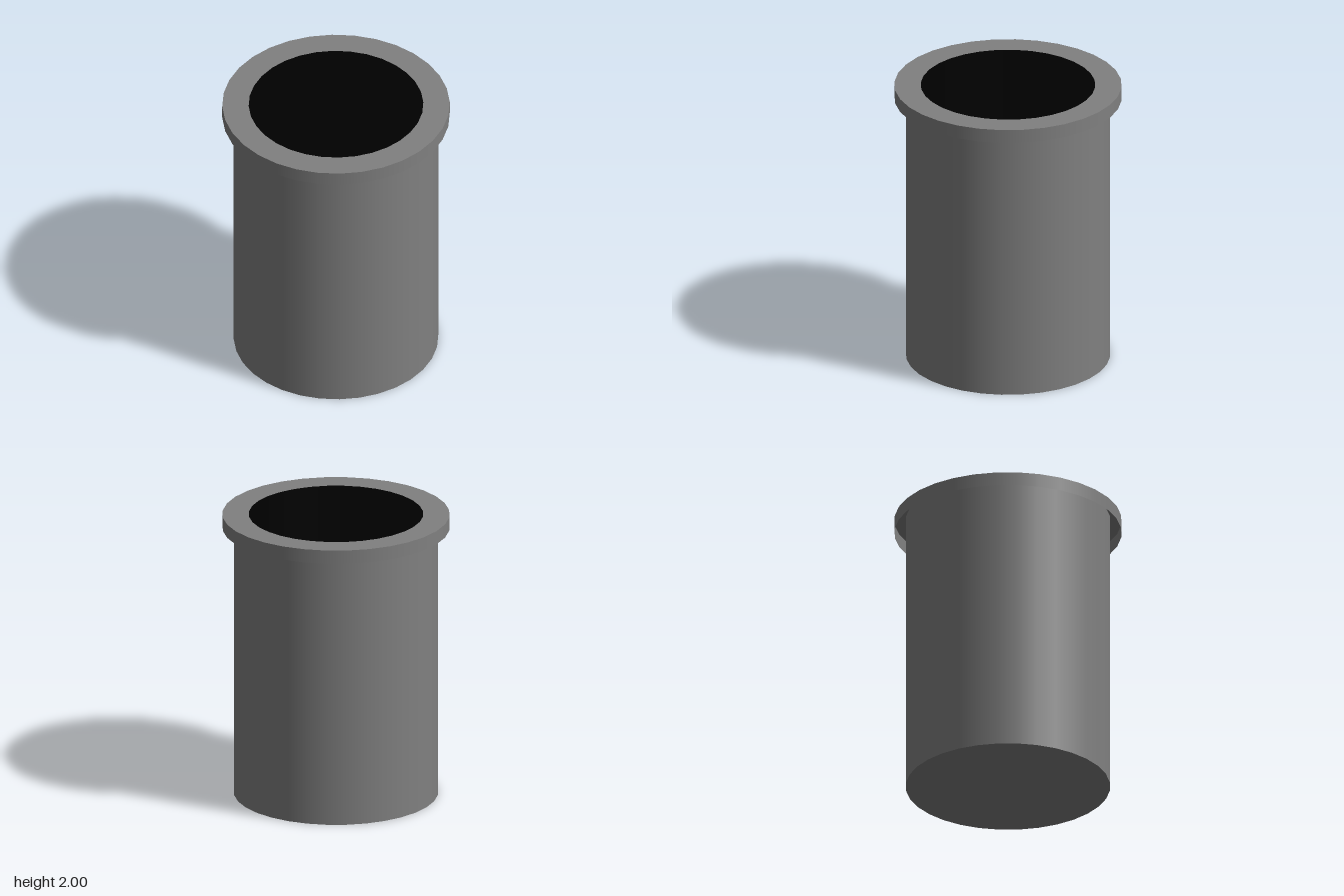
import * as THREE from 'three';
import { mergeGeometries } from 'three/addons/utils/BufferGeometryUtils.js';

const SIDES = 32;

// Revolve a profile, keeping each profile corner sharp while staying smooth around the axis.
function revolve(name, profile, material) {
  const bands = [];
  for (let i = 0; i < profile.length - 1; i++) {
    const pair = [profile[i], profile[i + 1]].map(([r, y]) => new THREE.Vector2(r, y));
    bands.push(new THREE.LatheGeometry(pair, SIDES));
  }
  const mesh = new THREE.Mesh(mergeGeometries(bands), material);
  mesh.name = name;
  return mesh;
}

export function createModel() {
  const group = new THREE.Group();
  group.name = 'flangedContainer';
  const grey = new THREE.MeshStandardMaterial({ color: 0x808080, side: THREE.DoubleSide });
  const dark = new THREE.MeshStandardMaterial({ color: 0x000000 });

  const bodyR = 0.697, rimR = 0.775, holeR = 0.595;
  const rimY = 1.905, topY = 2, floorY = 0.1;

  // Closed base and outer wall, running up inside the rim
  group.add(revolve('body', [[0, 0], [bodyR, 0], [bodyR, topY]], grey));
  // Overhanging rim, a thin skirt open underneath
  group.add(revolve('rim', [[rimR, rimY], [rimR, topY], [holeR, topY]], grey));
  // Dark inner wall and floor
  group.add(revolve('innerLining', [[holeR, topY], [holeR, floorY], [0, floorY]], dark));

  return group;
}
